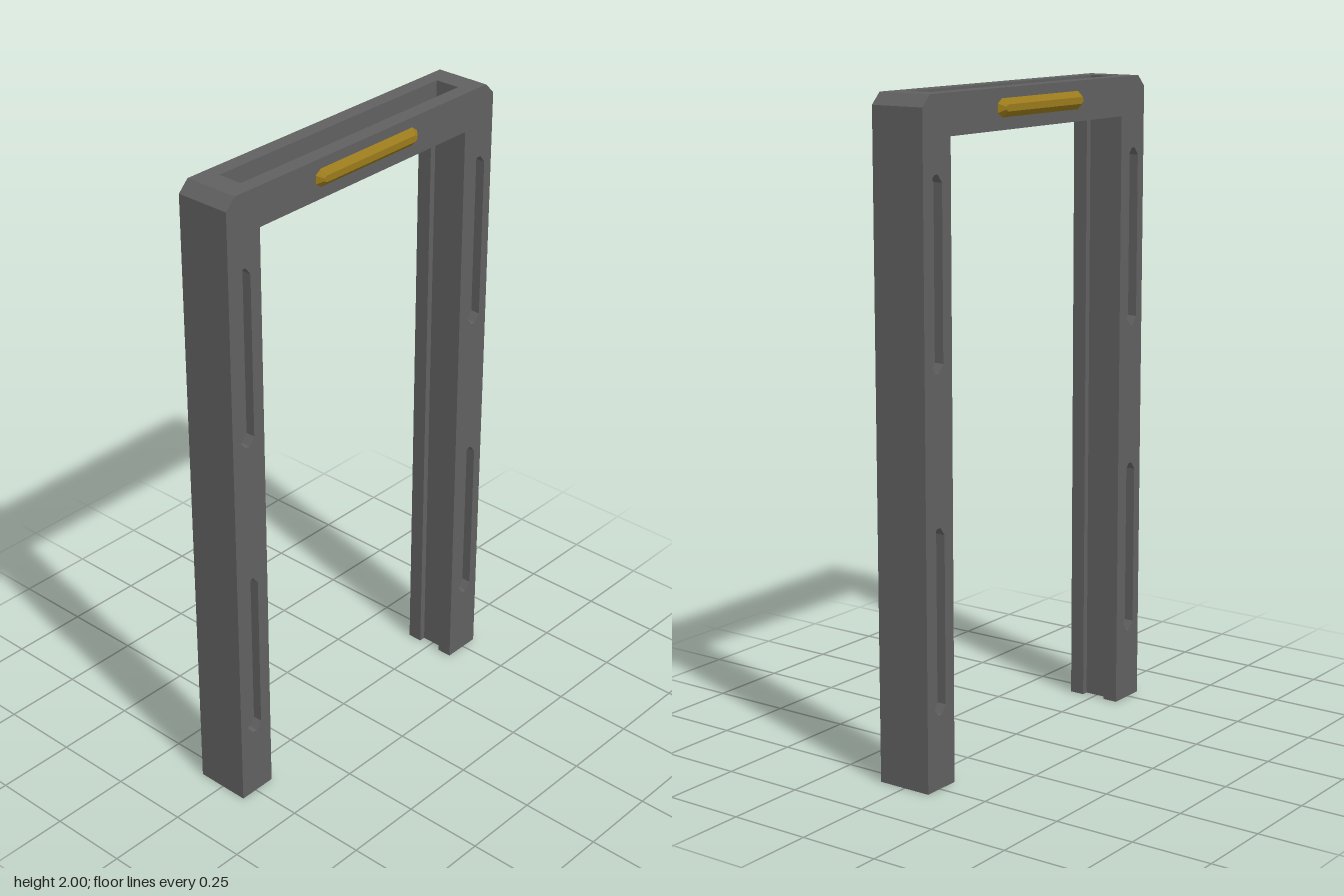
import * as THREE from 'three';

const W = 0.555, H = 2, Z = 0.0875;      // outer half width, height, half depth
const INNER = 0.43, LINTEL = 1.88;       // doorway opening
const GROOVE_X = 0.45, GROOVE_Z = 0.04;  // groove inside the frame
const CH = 0.034;                        // corner chamfer

const poly = (Type, pts) => new Type(pts.map(([x, y]) => new THREE.Vector2(x, y)));
const extrude = (shape, depth, z) =>
  new THREE.ExtrudeGeometry(shape, { depth, bevelEnabled: false }).translate(0, 0, z);

// Tall slot outline with pointed, slightly blunted ends
function slotPoints(cx, cy) {
  const w = 0.027, h = 0.277, t = 0.008, s = 0.024;
  return [[w, -h + s], [w, h - s], [t, h], [-t, h], [-w, h - s], [-w, -h + s], [-t, -h], [t, -h]]
    .map(([x, y]) => [cx + x, cy + y]);
}

export function createModel() {
  const group = new THREE.Group();
  const darkGrey = new THREE.MeshStandardMaterial({ color: 0x606060 });
  darkGrey.name = 'dark grey';
  const gold = new THREE.MeshStandardMaterial({ color: 0x9a7a1c });
  gold.name = 'gold';

  const add = (parent, name, geometry, material) => {
    const mesh = new THREE.Mesh(geometry, material);
    mesh.name = name;
    parent.add(mesh);
    return mesh;
  };

  const slots = [];
  for (const x of [-0.497, 0.497]) for (const y of [0.503, 1.503]) slots.push(slotPoints(x, y));

  // Arch-shaped slab with chamfered top corners and slot recesses
  const arch = poly(THREE.Shape, [
    [-W, 0], [-INNER, 0], [-INNER, LINTEL], [INNER, LINTEL], [INNER, 0], [W, 0],
    [W, H - CH], [W - CH, H], [-W + CH, H], [-W, H - CH],
  ]);
  arch.holes = slots.map((p) => poly(THREE.Path, p));
  const slabGeometry = extrude(arch, Z - GROOVE_Z, GROOVE_Z);

  // Bevelled bar; its rear half sits inside the slab
  const bar = poly(THREE.Shape, [
    [0.185, -0.01], [0.194, -0.004], [0.194, 0.004], [0.185, 0.01],
    [-0.185, 0.01], [-0.194, 0.004], [-0.194, -0.004], [-0.185, -0.01],
  ]);
  const barGeometry = new THREE.ExtrudeGeometry(bar, {
    depth: 0.001, bevelThickness: 0.017, bevelSize: 0.017, bevelSegments: 1,
  }).translate(0, 1.943, Z);

  // Front and back faces are the same part turned around
  for (const side of ['front', 'back']) {
    const face = new THREE.Group();
    face.name = side + 'Face';
    if (side === 'back') face.rotation.y = Math.PI;
    add(face, side + 'Slab', slabGeometry, darkGrey);
    slots.forEach((p) =>
      add(face, side + 'SlotFloor', extrude(poly(THREE.Shape, p), 0.0175, GROOVE_Z), darkGrey));
    add(face, side + 'GoldBar', barGeometry, gold);
    group.add(face);
  }

  // Middle of each post, set back to leave the groove and the open top slot
  const core = poly(THREE.Shape, [[GROOVE_X, 0], [W, 0], [W, H - CH], [W - CH, H], [GROOVE_X, H]]);
  const coreGeometry = extrude(core, GROOVE_Z * 2, -GROOVE_Z);
  add(group, 'leftPostCore', coreGeometry, darkGrey);
  add(group, 'rightPostCore', coreGeometry, darkGrey).rotation.y = Math.PI;

  return group;
}
